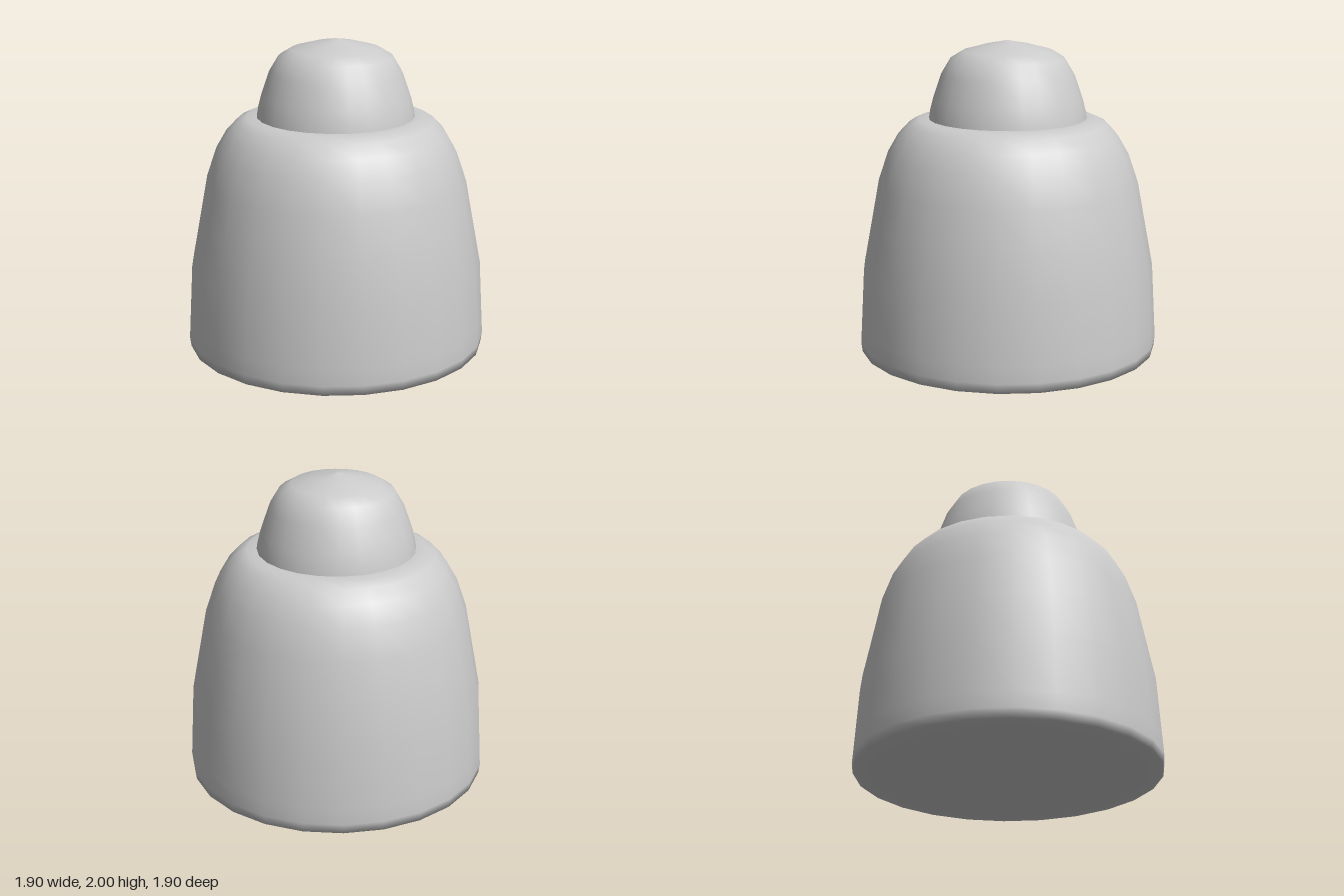
import * as THREE from 'three';

const SIDES = 24;

// Smooth turned part from [radius, height] pairs, listed bottom to top
function turned(name, profile, material) {
  const points = profile.map(([r, y]) => new THREE.Vector2(r, y));
  const mesh = new THREE.Mesh(new THREE.LatheGeometry(points, SIDES), material);
  mesh.name = name;
  return mesh;
}

export function createModel() {
  const group = new THREE.Group();
  group.name = 'domedBell';
  const material = new THREE.MeshStandardMaterial({ color: 0xcccccc });

  // Wide body: shallow convex underside, tapering wall, rounded shoulder
  group.add(turned('body', [
    [0, 0], [0.5, 0.01], [0.8, 0.025], [0.94, 0.04],
    [0.948, 0.1], [0.942, 0.2], [0.92, 0.58], [0.865, 0.87], [0.82, 1.11],
    [0.757, 1.295], [0.69, 1.41], [0.62, 1.485], [0.555, 1.515], [0.47, 1.517], [0, 1.517],
  ], material));

  // Small cap dome seated on the shoulder
  group.add(turned('cap', [
    [0.495, 1.51], [0.487, 1.56], [0.467, 1.64], [0.415, 1.79],
    [0.355, 1.89], [0.278, 1.937], [0.14, 1.974], [0, 2],
  ], material));

  return group;
}
